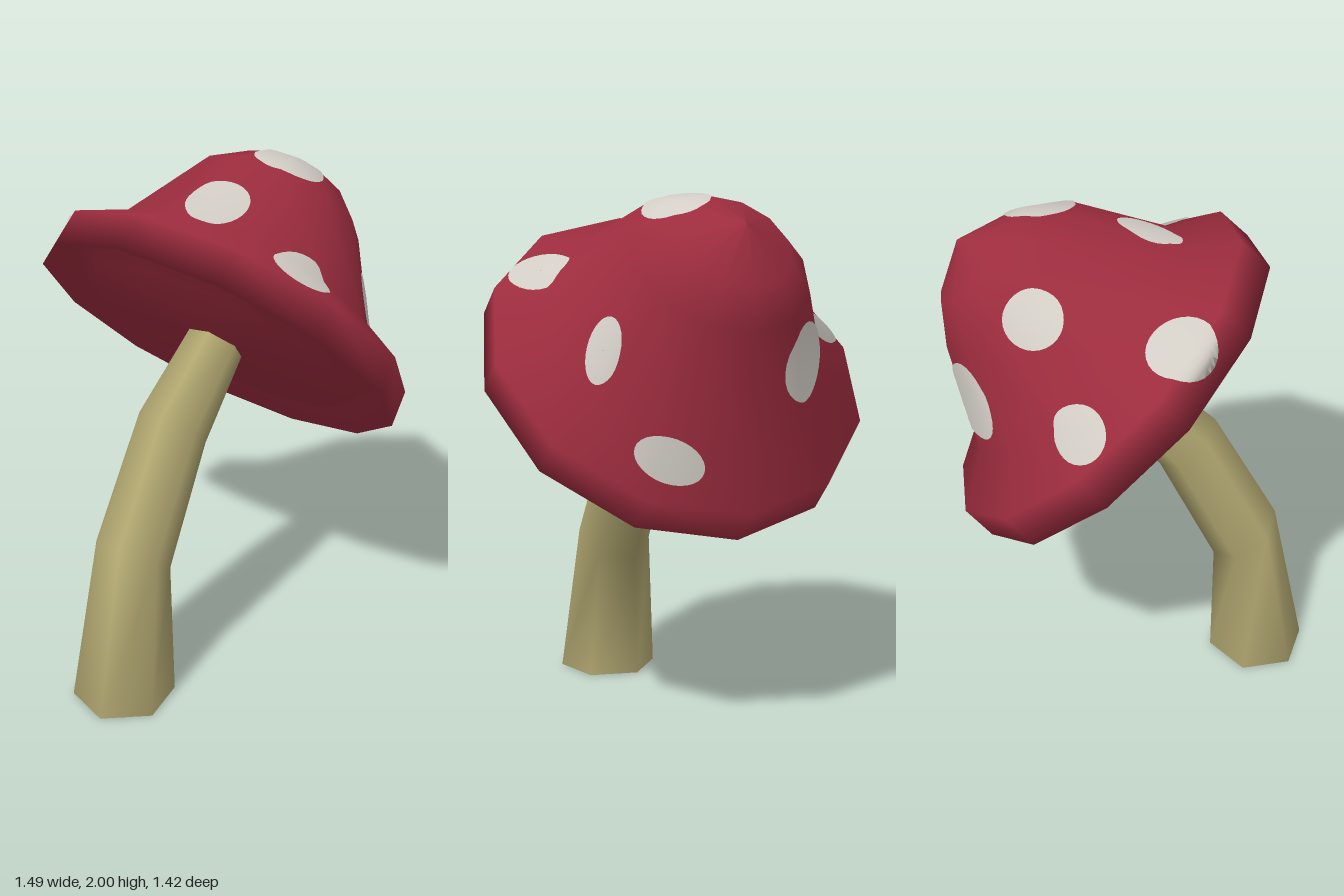
import * as THREE from 'three';

const material = (name, color) => {
  const m = new THREE.MeshStandardMaterial({ color });
  m.name = name;
  return m;
};
const add = (parent, name, geometry, mat) => {
  const mesh = new THREE.Mesh(geometry, mat);
  mesh.name = name;
  parent.add(mesh);
  return mesh;
};

const CAP_TILT = -0.767;

// Smooth twelve-sided cap: cushion underside, groove, rim, then the bell.
// Each ring is radius, height, forward lean.
function capGeometry() {
  const rings = [
    [0, 0, 0], [0.56, 0.02, 0], [0.67, 0.145, 0],
    [0.746, 0, 0], [0.738, 0.143, 0],
    [0.546, 0.255, 0.02], [0.345, 0.61, 0.036], [0.22, 0.728, 0.016], [0, 0.83, 0],
  ];
  const g = new THREE.LatheGeometry(rings.map(([r, y]) => new THREE.Vector2(r, y)), 12);
  const p = g.attributes.position;
  for (let i = 0; i < p.count; i++) p.setZ(i, p.getZ(i) + rings[i % rings.length][2]);
  return g;
}

// Bent hexagonal stem: each row of a cylinder becomes a tilted ring
function stemGeometry() {
  const rings = [ // z, y, radius, tilt
    [0.515, 0.005, 0.2, 0],
    [0.44, 0.595, 0.152, -0.607],
    [0.2, 1.04, 0.14, -0.695],
    [-0.06, 1.3, 0.115, CAP_TILT],
    [-0.13, 1.37, 0.11, CAP_TILT],
  ];
  const rows = rings.length - 1;
  const g = new THREE.CylinderGeometry(1, 1, 1, 6, rows, false, THREE.MathUtils.degToRad(14));
  const p = g.attributes.position, n = g.attributes.normal;
  const v = new THREE.Vector3(), xAxis = new THREE.Vector3(1, 0, 0);
  for (let i = 0; i < p.count; i++) {
    const [z, y, r, tilt] = rings[Math.round((p.getY(i) + 0.5) * rows)];
    v.set(p.getX(i) * r, 0, p.getZ(i) * r).applyAxisAngle(xAxis, tilt);
    p.setXYZ(i, v.x, v.y + y, v.z + z);
    v.fromBufferAttribute(n, i).applyAxisAngle(xAxis, tilt);
    n.setXYZ(i, v.x, v.y, v.z);
  }
  return g;
}

// Oval patch draped over the cap skin around a local point
function spotGeometry(skin, point, along, long, short) {
  const ray = new THREE.Raycaster();
  const core = new THREE.Vector3(0, 0.2, 0);
  const out = point.clone().sub(core);
  ray.set(core.clone().addScaledVector(out, 3), out.clone().normalize().negate());
  const hit = ray.intersectObject(skin)[0];
  const centre = hit.point.clone();
  const normal = hit.normal.clone().normalize();
  const u = along.clone().addScaledVector(normal, -along.dot(normal)).normalize();
  const w = normal.clone().cross(u);

  const g = new THREE.RingGeometry(0.005, 1, 28, 8);
  const p = g.attributes.position, n = g.attributes.normal;
  const v = new THREE.Vector3();
  for (let i = 0; i < p.count; i++) {
    v.copy(centre).addScaledVector(u, p.getX(i) * long).addScaledVector(w, p.getY(i) * short);
    ray.set(v.clone().addScaledVector(normal, 0.25), normal.clone().negate());
    const h = ray.intersectObject(skin)[0];
    const near = h && h.point.distanceTo(v) < 0.15;
    if (near) v.copy(h.point);
    v.addScaledVector(normal, 0.007);
    p.setXYZ(i, v.x, v.y, v.z);
    const m = near ? h.normal : normal;
    n.setXYZ(i, m.x, m.y, m.z);
  }
  return g;
}

export function createModel() {
  const red = material('cap red', 0x9c2c3e);
  const white = material('spot white', 0xd2cdc5);
  const olive = material('stem olive', 0xb0a670);
  const model = new THREE.Group();
  model.name = 'mushroom';

  add(model, 'stem', stemGeometry(), olive);

  // Cap skin, raycast in its own upright frame before tilting
  const skin = new THREE.Mesh(capGeometry(), red);
  skin.name = 'capSkin';

  const cap = new THREE.Group();
  cap.name = 'cap';
  cap.position.set(0, 1.3, -0.062);
  cap.rotation.x = CAP_TILT;
  cap.updateMatrixWorld(true);
  const untilt = cap.quaternion.clone().invert();

  // Spots: position, long direction, long and short radius
  const spots = [
    [[-0.45, 1.75, 0.16], [1, 0, 0], 0.122, 0.122],
    [[0.09, 1.89, 0.04], [0, 0, 1], 0.122, 0.114],
    [[0.46, 1.71, 0.05], [0, 0, 1], 0.125, 0.115],
    [[0.12, 1.95, -0.35], [1, 0, -1], 0.14, 0.125],
    [[-0.325, 1.76, -0.32], [0, 0, 1], 0.108, 0.105],
    [[-0.62, 1.5, -0.16], [0.12, 0.05, -0.18], 0.118, 0.095],
    [[0.45, 1.46, -0.43], [0, 0.22, -0.05], 0.12, 0.07],
    [[-0.3, 1.4, -0.59], [1, 0, 0], 0.147, 0.147],
    [[0.26, 1.1, -0.58], [-1, -0.35, 0], 0.13, 0.075],
  ];
  for (const [at, dir, long, short] of spots) {
    const local = cap.worldToLocal(new THREE.Vector3(...at));
    const along = new THREE.Vector3(...dir).applyQuaternion(untilt);
    add(cap, 'spot', spotGeometry(skin, local, along, long, short), white);
  }

  cap.add(skin);
  model.add(cap);
  return model;
}
